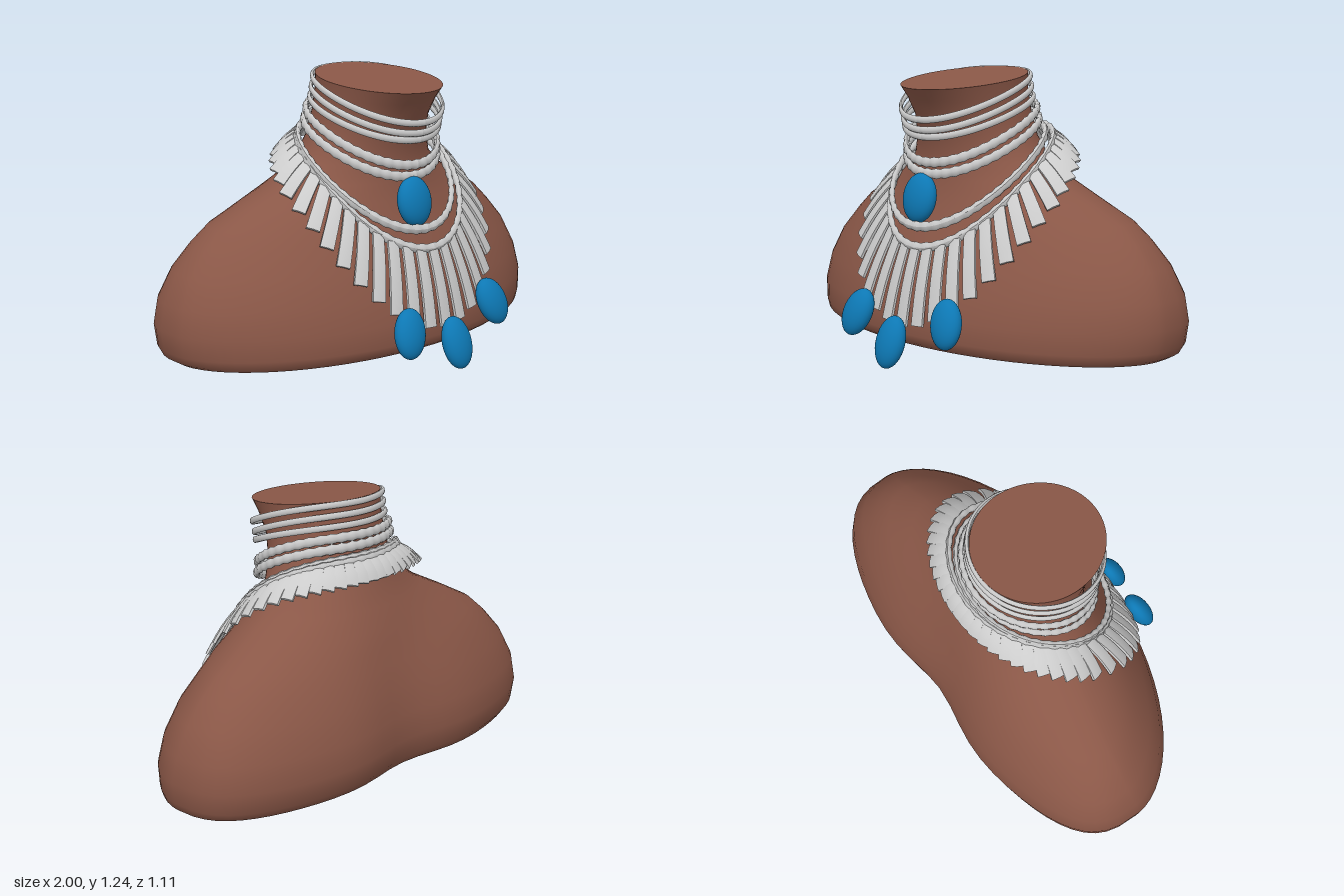
import * as THREE from 'three';
import { toCreasedNormals } from 'three/addons/utils/BufferGeometryUtils.js';

// Bust cross-sections: y, half width, front z, back z, shoulder z, front and back roundness
const ROWS = [
  [0.08, 0.95, 0.38, -0.51, -0.13, 1.1, 0.7],
  [0.095, 0.975, 0.4, -0.55, -0.13, 1.12, 0.67],
  [0.13, 0.99, 0.41, -0.575, -0.13, 1.15, 0.65],
  [0.22, 1.0, 0.4, -0.59, -0.13, 1.15, 0.65],
  [0.33, 0.98, 0.37, -0.575, -0.14, 1.15, 0.67],
  [0.45, 0.925, 0.325, -0.535, -0.15, 1.2, 0.75],
  [0.55, 0.84, 0.28, -0.49, -0.15, 1.3, 0.82],
  [0.62, 0.76, 0.25, -0.45, -0.15, 1.3, 0.87],
  [0.7, 0.61, 0.22, -0.4, -0.13, 1.3, 0.95],
  [0.78, 0.45, 0.2, -0.36, -0.1, 1.25, 1],
  [0.86, 0.335, 0.19, -0.325, -0.07, 1.1, 1],
  [0.95, 0.28, 0.2, -0.295, -0.04, 1, 1],
  [1.05, 0.255, 0.23, -0.275, -0.01, 1, 1],
  [1.14, 0.255, 0.28, -0.258, 0.02, 1, 1],
  [1.205, 0.265, 0.325, -0.25, 0.03, 1, 1],
];

const skin = new THREE.MeshStandardMaterial({ color: 0x8a5747 });
const silver = new THREE.MeshStandardMaterial({ color: 0xcccccc });
const stone = new THREE.MeshStandardMaterial({ color: 0x0d78b4 });

function bustGeometry() {
  const n = 64, pos = [], idx = [];
  for (const [y, w, zf, zb, zs, ef, eb] of ROWS) {
    const tilt = 0.12 * Math.max(0, (y - 0.95) / 0.255);
    const hollow = 0.07 * Math.max(0, (w - 0.6) / 0.4);
    for (let j = 0; j < n; j++) {
      const t = (j / n) * Math.PI * 2, s = Math.sin(t), x = w * Math.cos(t);
      let z = s >= 0 ? zs + (zf - zs) * s ** ef : zs + (zb - zs) * (-s) ** eb;
      // shallow hollow between the shoulder blades
      if (s < 0) z += hollow * Math.exp(-((x / 0.25) ** 2));
      pos.push(x, y - tilt * (z - 0.03), z);
    }
  }
  const last = (ROWS.length - 1) * n, low = pos.length / 3;
  pos.push(0, 0.08, -0.05, 0, 1.205, 0.03);
  for (let j = 0; j < n; j++) {
    const k = (j + 1) % n;
    for (let i = 0; i < last; i += n) idx.push(i + j, i + n + j, i + k, i + k, i + n + j, i + n + k);
    idx.push(low, j, k, low + 1, last + k, last + j);
  }
  const g = new THREE.BufferGeometry();
  g.setAttribute('position', new THREE.Float32BufferAttribute(pos, 3));
  g.setIndex(idx);
  return toCreasedNormals(g, 1);
}

// Keeps jewellery just outside the chest
function lift(p, gap) {
  const i = ROWS.findIndex((r) => r[0] > p.y);
  if (i < 1 || p.y > 0.95) return p;
  const a = ROWS[i - 1], b = ROWS[i], f = (p.y - a[0]) / (b[0] - a[0]);
  const [, w, zf, , zs, ef] = a.map((v, k) => v + (b[k] - v) * f);
  const q = 1 - (p.x / w) ** 2;
  if (q > 0 && p.z > -0.12) p.z = Math.max(p.z, zs + (zf - zs) * Math.sqrt(q) ** ef + gap);
  return p;
}

// Point on a drooping loop; t = 0 is the front
function loopPoint(t, { cx = 0, w, zf, zb, yf, yb, p }, gap = 0.02) {
  const h = (1 + Math.cos(t)) / 2;
  return lift(new THREE.Vector3(cx + w * Math.sin(t), yb - (yb - yf) * h ** p, zb + (zf - zb) * h), gap);
}

// Flattened band, optionally with beaded swelling
function strand(loop, radius, bumps) {
  const pts = [];
  for (let i = 0; i < 40; i++) pts.push(loopPoint((i / 40) * Math.PI * 2, loop));
  const segs = bumps ? bumps * 4 : 96;
  const g = new THREE.TubeGeometry(new THREE.CatmullRomCurve3(pts, true), segs, radius, 8, true);
  const P = g.attributes.position, N = g.attributes.normal;
  for (let i = 0; i < P.count; i++) {
    const d = bumps ? 0.1 * radius * Math.cos((Math.floor(i / 9) / 4) * Math.PI * 2) : 0;
    const flat = d - 0.4 * radius;
    P.setXYZ(i, P.getX(i) + N.getX(i) * flat, P.getY(i) + N.getY(i) * d, P.getZ(i) + N.getZ(i) * flat);
  }
  g.computeVertexNormals();
  return g;
}

// Rippled plate, a little wider at its free end
function plateGeometry(length) {
  const g = new THREE.BoxGeometry(0.056, length, 0.012, 2, 6, 1);
  const P = g.attributes.position;
  for (let k = 0; k < P.count; k++) {
    const v = P.getY(k) / length + 0.5;
    const ridge = P.getX(k) === 0 ? 0.004 : 0;
    P.setX(k, P.getX(k) * (0.92 + 0.16 * v));
    P.setZ(k, P.getZ(k) + 0.008 * Math.sin(v * Math.PI) + ridge);
  }
  g.computeVertexNormals();
  return g;
}

function add(parent, name, geometry, material) {
  const m = new THREE.Mesh(geometry, material);
  m.name = name;
  parent.add(m);
  return m;
}

export function createModel() {
  const model = new THREE.Group();
  model.name = 'necklaceBust';
  add(model, 'bust', bustGeometry(), skin);

  // Neck strands: half width, front z, front y, back z, back y, droop, radius, beads
  const strands = new THREE.Group();
  strands.name = 'neckStrands';
  model.add(strands);
  [
    [0.282, 0.31, 1.04, -0.255, 1.225, 1.5, 0.015, 0],
    [0.285, 0.295, 0.995, -0.26, 1.18, 1.5, 0.015, 0],
    [0.29, 0.285, 0.965, -0.265, 1.135, 1.5, 0.015, 0],
    [0.3, 0.265, 0.855, -0.28, 1.09, 1.6, 0.021, 40],
    [0.315, 0.255, 0.805, -0.28, 1.045, 1.6, 0.021, 40],
    [0.36, 0.325, 0.585, -0.295, 1.0, 1.6, 0.021, 44],
  ].forEach(([w, zf, yf, zb, yb, p, r, beads], i) => {
    add(strands, 'strand' + (i + 1), strand({ w, zf, yf, zb, yb, p }, r, beads), silver);
  });

  // Collar: a band with a fan of hanging plates, packed closer towards the back
  const collar = new THREE.Group();
  collar.name = 'platedCollar';
  model.add(collar);
  const inner = { cx: 0.02, w: 0.385, zf: 0.345, zb: -0.31, yf: 0.5, yb: 0.99, p: 1.7 };
  const outer = { cx: 0.02, w: 0.52, zf: 0.43, zb: -0.37, yf: 0.17, yb: 0.91, p: 1.9 };
  add(collar, 'collarBand', strand(inner, 0.021, 42), silver);
  const count = 44;
  for (let i = 0; i < count; i++) {
    const u = (i / count) * Math.PI * 2, t = u + 0.25 * Math.sin(u);
    const a = loopPoint(t, inner), b = loopPoint(t, outer, 0.025);
    const along = b.clone().sub(a), length = along.length();
    along.normalize();
    // plates follow the average run of both edges
    const side = new THREE.Vector3();
    for (const edge of [inner, outer]) side.add(loopPoint(t - 0.08, edge)).sub(loopPoint(t + 0.08, edge));
    side.addScaledVector(along, -side.dot(along)).normalize();
    const face = new THREE.Vector3().crossVectors(side, along);
    const plate = add(collar, 'collarPlate', plateGeometry(length), silver);
    plate.quaternion.setFromRotationMatrix(new THREE.Matrix4().makeBasis(side, along, face));
    plate.position.copy(a).add(b).multiplyScalar(0.5);
  }

  // Blue stones: position, radii, forward lean, sideways lean
  [
    ['chokerStone', -0.025, 0.7, 0.28, 0.09, 0.108, 0.052, -0.2, 0],
    ['rightStone', -0.23, 0.195, 0.46, 0.077, 0.108, 0.05, -0.32, -0.3],
    ['middleStone', 0.02, 0.11, 0.495, 0.075, 0.114, 0.05, -0.32, 0],
    ['leftStone', 0.303, 0.225, 0.44, 0.077, 0.108, 0.05, -0.32, 0.3],
  ].forEach(([name, x, y, z, rx, ry, rz, lean, roll]) => {
    const s = add(model, name, new THREE.SphereGeometry(1, 28, 18), stone);
    s.scale.set(rx, ry, rz);
    s.position.set(x, y, z);
    s.rotation.set(lean, 0, roll);
  });
  return model;
}
